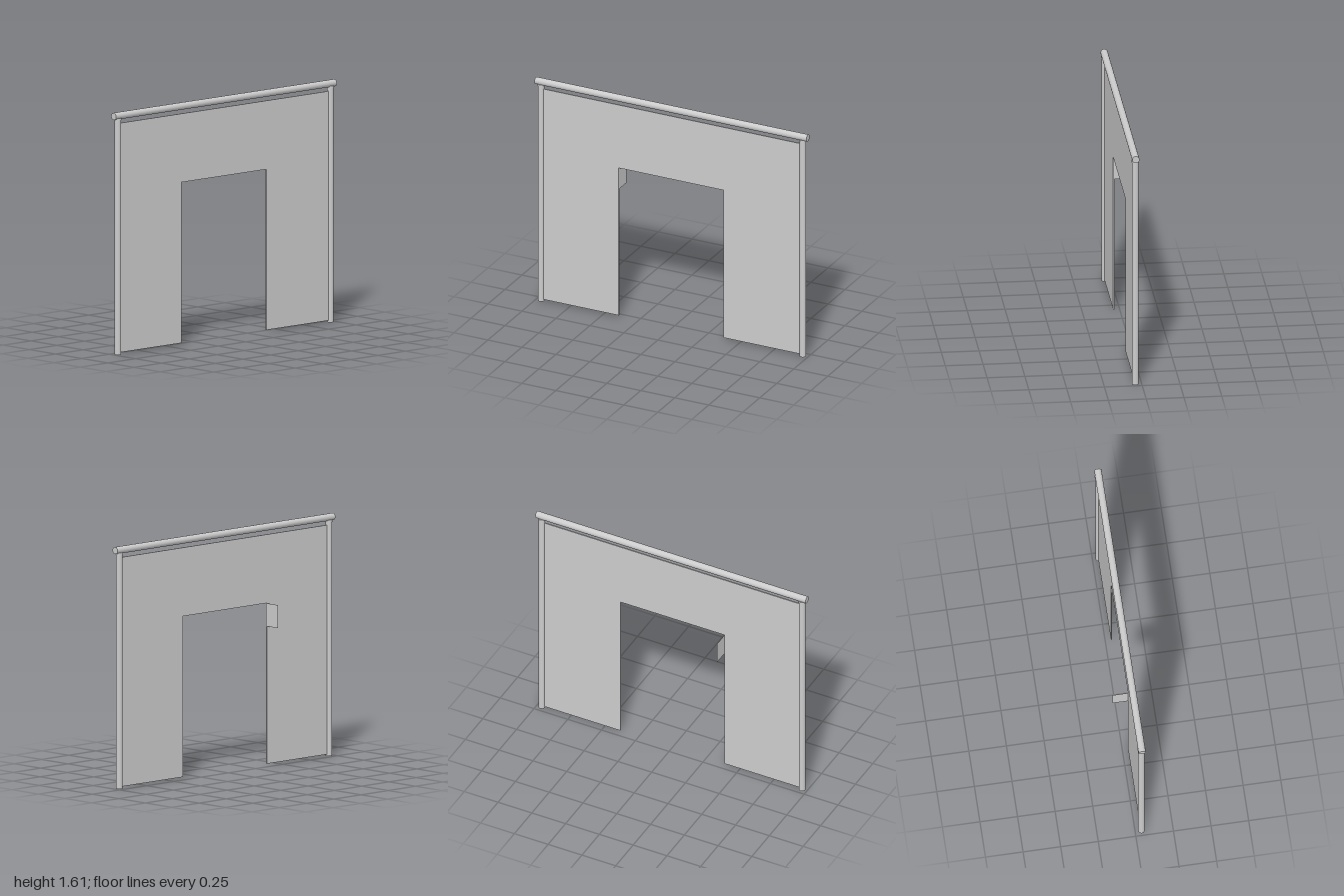
import * as THREE from 'three';

const Z = 0.042; // plane shared by frame and wall

export function createModel() {
  const group = new THREE.Group();
  const material = new THREE.MeshStandardMaterial({ color: 0xcccccc });
  const thin = new THREE.MeshStandardMaterial({ color: 0xcccccc, side: THREE.DoubleSide });

  const add = (name, geometry, x, y, z, mat = material) => {
    const mesh = new THREE.Mesh(geometry, mat);
    mesh.name = name;
    mesh.position.set(x, y, z);
    group.add(mesh);
    return mesh;
  };

  // Upright poles with a short collar under the crossbar
  for (const [side, s] of [['left', 1], ['right', -1]]) {
    add(`${side}Pole`, new THREE.CylinderGeometry(0.022, 0.022, 1.575, 20), s * 0.963, 0.7875, Z);
    add(`${side}Collar`, new THREE.CylinderGeometry(0.026, 0.026, 0.012, 20), s * 0.963, 1.569, Z);
  }

  // Crossbar
  add('crossbar', new THREE.CylinderGeometry(0.024, 0.024, 2, 20), 0, 1.59, Z).rotation.z = Math.PI / 2;

  // Wall panel, outlined around the doorway
  const outline = new THREE.Shape([
    [-0.95, 0.012], [-0.39, 0.012], [-0.39, 1.083], [0.38, 1.083],
    [0.38, 0.012], [0.95, 0.012], [0.95, 1.54], [-0.95, 1.54],
  ].map(([x, y]) => new THREE.Vector2(x, y)));
  const depth = 0.008;
  add('wallPanel', new THREE.ExtrudeGeometry(outline, { depth, bevelEnabled: false }), 0, 0, Z - depth / 2);

  // Thin sign plate projecting backwards from the doorway edge
  const flap = add('signPlate', new THREE.PlaneGeometry(0.107, 0.153), -0.39, 1.0045, -0.0115, thin);
  flap.rotation.y = Math.PI / 2;

  return group;
}
